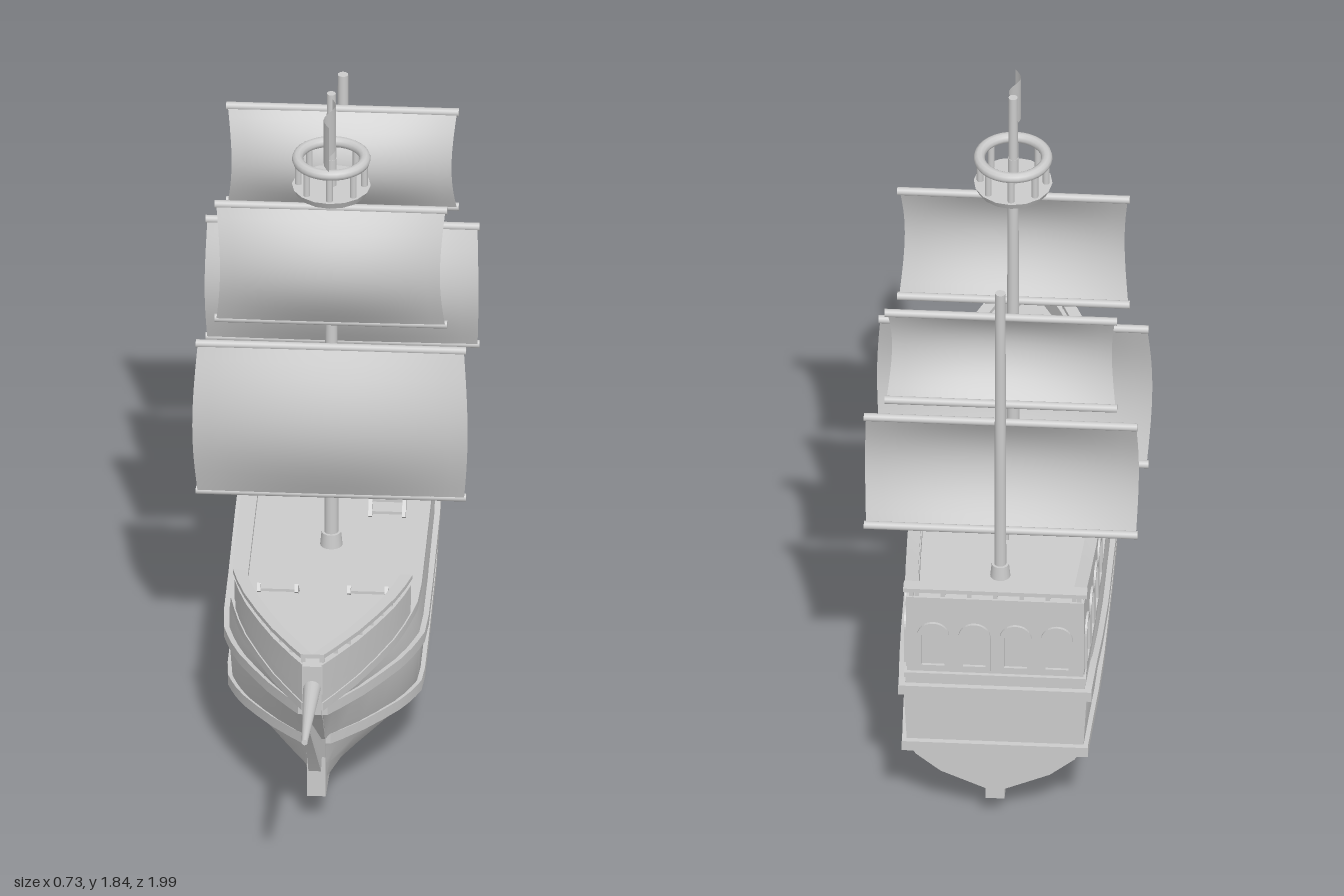
import * as THREE from 'three';
import { toCreasedNormals } from 'three/addons/utils/BufferGeometryUtils.js';

const material = new THREE.MeshStandardMaterial({ color: 0xcccccc });
const clothMaterial = new THREE.MeshStandardMaterial({ color: 0xcccccc, side: THREE.DoubleSide });

// Piecewise-linear curve through [z, value] pairs
function curve(points) {
  return (z) => {
    let i = 1;
    while (i < points.length - 1 && z > points[i][0]) i++;
    const [[a, va], [b, vb]] = [points[i - 1], points[i]];
    return va + (vb - va) * THREE.MathUtils.clamp((z - a) / (b - a), 0, 1);
  };
}

const STERN = -0.98, BOW = 0.65;
const STATIONS = [STERN, -0.85, -0.7, -0.52, -0.2, 0, 0.1, 0.16, 0.22, 0.3, 0.4, 0.5, 0.6, BOW];
const halfWidth = curve([[-0.98, 0.235], [-0.75, 0.245], [-0.5, 0.25], [0, 0.25], [0.1, 0.245], [0.2, 0.225],
  [0.3, 0.195], [0.4, 0.155], [0.5, 0.11], [0.6, 0.055], [0.65, 0.025]]);
const keelY = curve([[-0.98, 0.1], [-0.62, 0.06], [-0.22, 0.03], [0.15, 0.045], [0.65, 0.1]]);
const lowerWaleY = curve([[-0.98, 0.245], [-0.85, 0.24], [-0.6, 0.212], [-0.2, 0.197], [0.1, 0.203], [0.4, 0.235], [0.65, 0.26]]);
const upperWaleY = curve([[-0.98, 0.43], [-0.85, 0.425], [-0.6, 0.38], [-0.2, 0.358], [0.1, 0.365], [0.4, 0.405], [0.65, 0.435]]);
const aftTop = curve([[-0.98, 0.73], [-0.68, 0.68], [-0.52, 0.67]]);
const foreTop = curve([[0.16, 0.56], [0.65, 0.59]]);

// Point on the +x side of the hull; levels below the deck rake back at the bow
const rake = (z, bow) => (z > 0 ? z * bow / BOW : z);
const level = (z, y, factor, bow) => [Math.max(0.02, halfWidth(z) * factor), y, rake(z, bow)];
const blendY = (z, t) => THREE.MathUtils.lerp(keelY(z), lowerWaleY(z), t);
const lowerWale = (z) => level(z, lowerWaleY(z), 1, 0.47);
const upperWale = (z) => level(z, upperWaleY(z), 1.04, 0.62);

// Closed skin over rings, each counter-clockwise seen from +z, running towards +z
function loft(rings, crease = 0.5) {
  const n = rings[0].length, position = [], index = [];
  rings.forEach((ring) => ring.forEach((p) => position.push(...p)));
  for (let i = 0; i < rings.length - 1; i++) {
    for (let j = 0; j < n; j++) {
      const a = i * n + j, b = i * n + (j + 1) % n;
      index.push(a, b, a + n, b, b + n, a + n);
    }
  }
  const last = (rings.length - 1) * n;
  for (let j = 1; j < n - 1; j++) index.push(0, j + 1, j, last, last + j, last + j + 1);
  const g = new THREE.BufferGeometry();
  g.setAttribute('position', new THREE.Float32BufferAttribute(position, 3));
  g.setIndex(index);
  return toCreasedNormals(g, crease);
}

const mirrorRing = (ring) => ring.map(([x, y, z]) => [-x, y, z]).reverse();

export function createModel() {
  const ship = new THREE.Group();
  ship.name = 'sailingShip';

  function add(name, geometry, x = 0, y = 0, z = 0, parent = ship, mat = material) {
    const mesh = new THREE.Mesh(geometry, mat);
    mesh.name = name;
    mesh.position.set(x, y, z);
    parent.add(mesh);
    return mesh;
  }
  const box = (name, w, h, d, x, y, z, parent) => add(name, new THREE.BoxGeometry(w, h, d), x, y, z, parent);
  const rod = (name, r0, r1, h, x, y, z, parent) => add(name, new THREE.CylinderGeometry(r1, r0, h, 16), x, y, z, parent);

  // Strip along both sides of the ship: section(z) is a ring on the +x side
  function sideStrip(name, zs, section) {
    const rings = zs.map(section);
    add(name + 'Left', loft(rings));
    add(name + 'Right', loft(rings.map(mirrorRing)));
  }
  const rect = (xIn, xOut, y0, y1, z) => [[xIn, y0, z], [xOut, y0, z], [xOut, y1, z], [xIn, y1, z]];

  // Hull with main deck
  add('hull', loft(STATIONS.map((z) => {
    const half = [
      [0.02, keelY(z), rake(z, 0.43)],
      level(z, blendY(z, 0.38), 0.62, 0.44),
      level(z, blendY(z, 0.75), 0.9, 0.455),
      lowerWale(z), upperWale(z), level(z, 0.455, 1, BOW),
    ];
    return [...mirrorRing(half), ...half];
  })));

  // Keel and stem in one side profile
  const profile = [[-0.98, 0.07], [-0.62, 0.035], [-0.22, 0], [0.13, 0.016], [0.3, 0.05], [0.44, 0.07], [0.465, 0.08],
    [0.465, 0.2], [0.49, 0.27], [0.6, 0.395], [0.655, 0.44], [0.66, 0.59], [0.62, 0.59], [0.6, 0.46], [0.42, 0.27],
    [0.41, 0.12], [0.13, 0.06], [-0.22, 0.045], [-0.62, 0.075], [-0.98, 0.115]];
  const keel = new THREE.ExtrudeGeometry(new THREE.Shape(profile.map((p) => new THREE.Vector2(...p))),
    { depth: 0.05, bevelEnabled: false });
  add('keelAndStem', keel.rotateY(-Math.PI / 2).translate(0.025, 0, 0));

  // Wales along the sides and across the stern
  for (const [name, at] of [['lowerWale', lowerWale], ['upperWale', upperWale]]) {
    sideStrip(name, STATIONS, (z) => {
      const [x, y, zz] = at(z);
      return rect(Math.max(0, x - 0.02), x + 0.013, y - 0.015, y + 0.015, zz);
    });
    const [x, y] = at(STERN);
    box(name + 'Stern', 2 * x + 0.026, 0.03, 0.03, 0, y, STERN);
  }

  // Gunwale, raised decks, bulwarks and their railings
  const foreZ = STATIONS.filter((z) => z >= 0.16), aftZ = STATIONS.filter((z) => z <= -0.52);
  const inner = (z, t) => Math.max(0, halfWidth(z) - t);
  sideStrip('gunwale', STATIONS, (z) => rect(inner(z, 0.04), halfWidth(z) + 0.004, 0.45, 0.474, z));
  const deck = (zs, y) => loft(zs.map((z) => rect(-halfWidth(z), halfWidth(z), 0.45, y, z)));
  add('foreDeck', deck(foreZ, 0.53));
  add('aftDeck', deck(aftZ, 0.65));
  for (const [name, zs, top, count] of [['fore', foreZ, foreTop, 9], ['aft', aftZ, aftTop, 8]]) {
    sideStrip(name + 'Bulwark', zs, (z) => rect(inner(z, 0.03), halfWidth(z) + 0.002, 0.5, top(z), z));
    sideStrip(name + 'Rail', zs, (z) => rect(inner(z, 0.028), halfWidth(z) + 0.006, top(z) + 0.02, top(z) + 0.032, z));
    for (let i = 0; i < count; i++) {
      const z = THREE.MathUtils.lerp(zs[0] + 0.01, zs[zs.length - 1] - 0.02, i / (count - 1));
      for (const s of [-1, 1]) box(name + 'RailPost', 0.012, 0.03, 0.012, s * inner(z, 0.012), top(z) + 0.01, z);
    }
  }
  box('sternBulwark', 0.47, 0.08, 0.03, 0, 0.69, STERN + 0.015);
  box('sternRail', 0.49, 0.012, 0.036, 0, 0.756, STERN + 0.012);
  for (let i = 0; i < 7; i++) box('sternRailPost', 0.012, 0.03, 0.012, -0.21 + i * 0.07, 0.74, STERN + 0.012);
  box('aftDeckFrontRail', 0.3, 0.012, 0.02, -0.07, 0.7, -0.55);
  for (let i = 0; i < 5; i++) box('aftDeckFrontPost', 0.012, 0.05, 0.012, -0.21 + i * 0.07, 0.672, -0.55);
  box('sternTrim', 0.485, 0.016, 0.02, 0, 0.478, STERN);

  // Arched window frames around the aft castle
  function archGeometry(w, h, t) {
    const outline = (path, r, y0) => path.moveTo(-r, y0).lineTo(r, y0).lineTo(r, h - w / 2)
      .absarc(0, h - w / 2, r, 0, Math.PI, false).lineTo(-r, y0);
    const shape = new THREE.Shape(), hole = new THREE.Path();
    outline(shape, w / 2, 0);
    outline(hole, w / 2 - t, t);
    shape.holes.push(hole);
    return new THREE.ExtrudeGeometry(shape, { depth: 0.008, bevelEnabled: false, curveSegments: 8 });
  }
  const arch = archGeometry(0.085, 0.15, 0.012);
  for (let i = 0; i < 4; i++) {
    add('sternArch', arch, -0.165 + i * 0.11, 0.5, STERN).rotation.y = Math.PI;
    const z = -0.92 + i * 0.113;
    for (const s of [-1, 1]) add('sideArch', arch, s * halfWidth(z), 0.5, z).rotation.y = s * (Math.PI / 2 + 0.04);
  }

  // Ladders up to the raised decks: foot and head given as [y, z]
  function ladder(name, x, width, [y0, z0], [y1, z1], steps) {
    const g = new THREE.Group();
    g.name = name;
    const length = Math.hypot(y1 - y0, z1 - z0);
    for (const s of [-1, 1]) {
      box('stringer', 0.01, length, 0.022, x + s * width / 2, (y0 + y1) / 2, (z0 + z1) / 2, g)
        .rotation.x = Math.atan2(z1 - z0, y1 - y0);
    }
    for (let i = 0; i < steps; i++) {
      const t = (i + 0.5) / steps;
      box('tread', width, 0.008, 0.02, x, y0 + (y1 - y0) * t, z0 + (z1 - z0) * t, g);
    }
    ship.add(g);
  }
  ladder('aftLadder', 0.14, 0.09, [0.46, -0.37], [0.66, -0.54], 8);
  for (const s of [-1, 1]) ladder('foreLadder', s * 0.12, 0.1, [0.46, 0.07], [0.55, 0.175], 5);

  // Steering wheel on its stand
  const helm = new THREE.Group();
  helm.name = 'steeringWheel';
  helm.position.set(0, 0.735, -0.615);
  add('wheelRim', new THREE.TorusGeometry(0.038, 0.005, 8, 24), 0, 0, 0, helm);
  for (let i = 0; i < 4; i++) rod('spoke', 0.003, 0.003, 0.108, 0, 0, 0, helm).rotation.z = i * Math.PI / 4;
  box('wheelStand', 0.025, 0.1, 0.02, 0, -0.045, 0.018, helm);
  ship.add(helm);

  // Masts with foot collars
  rod('mainMast', 0.019, 0.014, 1.19, 0, 1.045, -0.228);
  rod('flagPole', 0.013, 0.012, 0.22, 0, 1.73, -0.228);
  rod('mainMastCollar', 0.03, 0.026, 0.04, 0, 0.475, -0.228);
  rod('aftMast', 0.016, 0.014, 0.95, 0, 1.115, -0.762);
  rod('aftMastCollar', 0.027, 0.023, 0.04, 0, 0.67, -0.762);

  // Square sails, each between two yards
  function sail(name, z, y0, y1, half, waist) {
    const g = new THREE.Group();
    g.name = name;
    const cloth = new THREE.PlaneGeometry(2, 1, 16, 12), p = cloth.attributes.position;
    for (let i = 0; i < p.count; i++) {
      const s = p.getX(i), v = p.getY(i) + 0.5, belly = Math.sin(Math.PI * v);
      p.setXYZ(i, s * (half - 0.005 + waist * belly), THREE.MathUtils.lerp(y0, y1, v),
        z + 0.008 + belly * (0.04 + 0.035 * Math.cos(s * Math.PI / 2)));
    }
    cloth.computeVertexNormals();
    add('cloth', cloth, 0, 0, 0, g, clothMaterial);
    for (const y of [y0, y1]) rod('yard', 0.011, 0.011, half * 2, 0, y, z, g).rotation.z = Math.PI / 2;
    ship.add(g);
  }
  sail('mainLowerSail', -0.21, 0.62, 1.07, 0.36, 0.012);
  sail('mainUpperSail', -0.21, 1.15, 1.5, 0.31, -0.012);
  sail('aftLowerSail', -0.742, 0.785, 1.145, 0.365, 0.005);
  sail('aftUpperSail', -0.742, 1.205, 1.495, 0.31, -0.012);

  // Lookout basket on the main mast
  const nest = new THREE.Group();
  nest.name = 'lookoutBasket';
  nest.position.set(0, 0, -0.228);
  rod('basketFloor', 0.095, 0.105, 0.02, 0, 1.55, 0, nest);
  add('basketRing', new THREE.TorusGeometry(0.09, 0.015, 10, 32), 0, 1.64, 0, nest).rotation.x = Math.PI / 2;
  for (let i = 0; i < 8; i++) {
    const a = i * Math.PI / 4;
    rod('baluster', 0.009, 0.009, 0.08, 0.088 * Math.cos(a), 1.6, 0.088 * Math.sin(a), nest);
  }
  ship.add(nest);

  // Rippling flag flying forwards
  const flag = new THREE.PlaneGeometry(1, 1, 14, 4), fp = flag.attributes.position;
  for (let i = 0; i < fp.count; i++) {
    const u = fp.getX(i) + 0.5, v = fp.getY(i);
    fp.setXYZ(i, 0.014 * Math.sin(u * 6.5), 1.762 + v * 0.135 - 0.01 * u, -0.222 + u * 0.145);
  }
  flag.computeVertexNormals();
  add('flag', flag, 0, 0, 0, ship, clothMaterial);

  // Bowsprit
  rod('bowsprit', 0.026, 0.008, 0.4, 0, 0.535, 0.8).rotation.x = Math.PI / 2 - 0.09;

  return ship;
}
